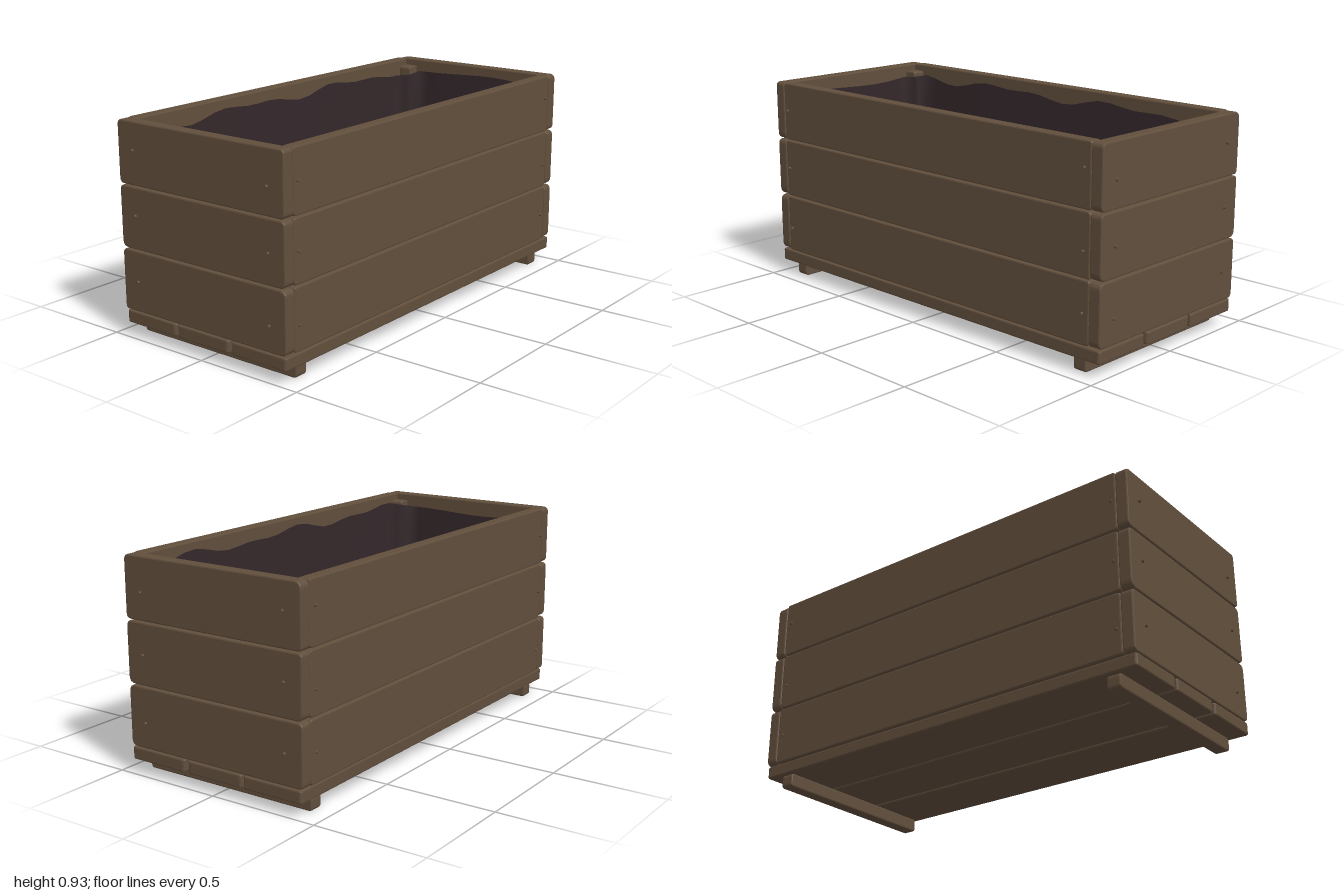
import * as THREE from 'three';

export function createModel() {
  const model = new THREE.Group();
  model.name = 'planterBox';
  const wood = new THREE.MeshStandardMaterial({ color: 0x624f3d });
  wood.name = 'weatheredWood';
  const cloth = new THREE.MeshStandardMaterial({ color: 0x33272a, side: THREE.DoubleSide });
  cloth.name = 'darkLiner';

  let seed = 7;
  const rand = () => (seed = (seed * 16807) % 2147483647) / 2147483647;

  // Bevelled board with unevenly worn corners, thickness along local z
  function board(name, w, h, t, wear) {
    const b = 0.006, x = w / 2 - b, y = h / 2 - b;
    const c = () => wear * (0.35 + 0.65 * rand());
    const s = new THREE.Shape();
    const [p, q, r, u] = [c(), c(), c(), c()];
    s.moveTo(-x + p, -y);
    s.lineTo(x - q, -y);
    s.quadraticCurveTo(x, -y, x, -y + q);
    s.lineTo(x, y - r);
    s.quadraticCurveTo(x, y, x - r, y);
    s.lineTo(-x + u, y);
    s.quadraticCurveTo(-x, y, -x, y - u);
    s.lineTo(-x, -y + p);
    s.quadraticCurveTo(-x, -y, -x + p, -y);
    const g = new THREE.ExtrudeGeometry(s, {
      depth: t - 2 * b, bevelThickness: b, bevelSize: b, bevelSegments: 2, curveSegments: 4,
    });
    g.translate(0, 0, -t / 2 + b);
    const mesh = new THREE.Mesh(g, wood);
    mesh.name = name;
    model.add(mesh);
    return mesh;
  }

  function nail(x, y, z, side) {
    const mesh = new THREE.Mesh(new THREE.CylinderGeometry(0.006, 0.008, 0.014, 8), wood);
    mesh.name = 'nail';
    mesh.position.set(x, y, z);
    if (side) mesh.rotation.z = -Math.sign(x) * Math.PI / 2;
    else mesh.rotation.x = Math.sign(z) * Math.PI / 2;
    model.add(mesh);
  }

  // Three courses of wall boards with their nails
  const courses = [[0.12, 0.385], [0.391, 0.657], [0.663, 0.93]];
  courses.forEach(([y0, y1], i) => {
    const y = (y0 + y1) / 2, h = y1 - y0;
    for (const s of [1, -1]) {
      board(s > 0 ? 'frontBoard' : 'backBoard', 1.866, h, 0.054, 0.012)
        .position.set(0, y, s * 0.414);
      const end = board(s > 0 ? 'leftEndBoard' : 'rightEndBoard', 0.886, h, 0.056, 0.026);
      end.rotation.y = Math.PI / 2;
      end.position.set(s * 0.962, y, 0);
      nail(s * 0.993, [0.23, 0.52, 0.78][i], 0.36, true);
      nail(s * 0.993, [0.252, 0.535, 0.81][i], -0.358, true);
      nail(0.9, [0.25, 0.5, 0.825][i], s * 0.444, false);
      nail(-0.91, [0.23, 0.525, 0.8][i], s * 0.444, false);
    }
  });

  // Floor slats running lengthwise
  for (const [z, w] of [[-0.293, 0.284], [0, 0.28], [0.299, 0.284]]) {
    const slat = board('floorSlat', 1.98, w, 0.055, 0.012);
    slat.rotation.x = -Math.PI / 2;
    slat.position.set(0, 0.088, z);
  }

  for (const sx of [1, -1]) {
    // Foot rails
    const foot = board('footRail', 0.84, 0.061, 0.062, 0.014);
    foot.rotation.y = Math.PI / 2;
    foot.position.set(sx * 0.875, 0.0305, 0);
    // Corner posts
    for (const sz of [1, -1]) {
      board('cornerPost', 0.064, 0.785, 0.064, 0.012)
        .position.set(sx * 0.9, 0.5075, sz * 0.355);
    }
  }

  // Liner outline at height t (0 floor, 1 rim), sagging inwards lower down
  const N = 24, M = 12;
  function outline(t) {
    const pts = [], sag = 1 - t;
    const zAt = (x) => 0.382 - sag * (0.022 + 0.032 * Math.cos(x * 1.7));
    const xAt = (z) => 0.928 - sag * (0.015 + 0.016 * Math.cos(z * 4.5));
    for (let i = 0; i <= N; i++) {
      const x = -0.84 + 1.68 * i / N;
      pts.push([x, zAt(x)]);
    }
    pts.push([0.858, 0.34], [0.87, 0.322]);
    for (let i = 0; i <= M; i++) {
      const z = 0.305 - 0.61 * i / M;
      pts.push([xAt(z), z]);
    }
    pts.push([0.87, -0.322], [0.858, -0.34]);
    return pts.concat(pts.map(([x, z]) => [-x, -z]).slice(0, N + 1 + 2 + M + 1 + 2))
      .filter((_, i) => true);
  }

  // Order the loop: front, left end, back, right end
  const rows = 6, floorY = 0.13;
  const verts = [], index = [];
  const count = outline(1).length;
  for (let r = 0; r <= rows; r++) {
    const t = r / rows;
    outline(t).forEach(([x, z]) => {
      const rim = 0.872 + 0.014 * Math.sin(x * 9 + z * 5) + 0.01 * Math.sin(x * 17 - z * 8);
      verts.push(x, floorY + (rim - floorY) * t, z);
    });
  }
  for (let r = 0; r < rows; r++) {
    for (let i = 0; i < count; i++) {
      const a = r * count + i, b = r * count + (i + 1) % count;
      index.push(a, a + count, b, b, a + count, b + count);
    }
  }
  const wallGeo = new THREE.BufferGeometry();
  wallGeo.setAttribute('position', new THREE.Float32BufferAttribute(verts, 3));
  wallGeo.setIndex(index);
  wallGeo.computeVertexNormals();
  const walls = new THREE.Mesh(wallGeo, cloth);
  walls.name = 'linerWalls';
  model.add(walls);

  // Liner floor
  const floorShape = new THREE.Shape(outline(0).map(([x, z]) => new THREE.Vector2(x, -z)));
  const floor = new THREE.Mesh(new THREE.ShapeGeometry(floorShape), cloth);
  floor.name = 'linerFloor';
  floor.rotation.x = -Math.PI / 2;
  floor.position.y = floorY;
  model.add(floor);

  return model;
}
